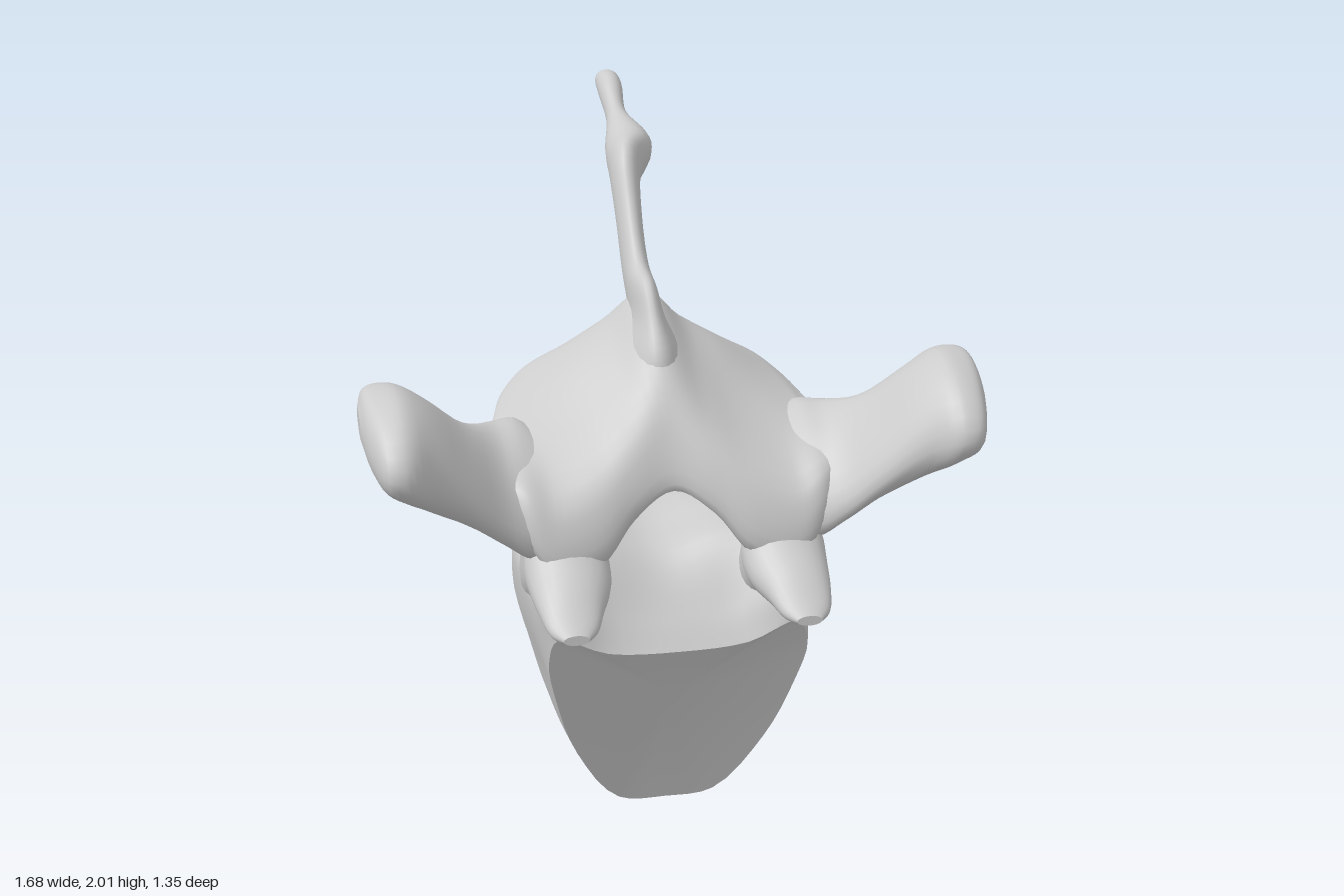
import * as THREE from 'three';

const V = (x, y, z) => new THREE.Vector3(x, y, z);
const { lerp, clamp } = THREE.MathUtils;
const material = new THREE.MeshStandardMaterial({ color: 0xcccccc });

// Skin a smooth surface over a row of rings and close both ends with creased caps.
// dish pushes the middle of the caps inwards.
function loft(rings, steps, dish = 0) {
  const n = rings[0].length;
  const rows = (rings.length - 1) * steps;
  const columns = rings[0].map((_, i) => new THREE.CatmullRomCurve3(rings.map((r) => r[i])));
  const pos = [], idx = [];
  for (let j = 0; j <= rows; j++) {
    for (let i = 0; i < n; i++) pos.push(...columns[i].getPoint(j / rows).toArray());
  }
  for (let j = 0; j < rows; j++) {
    for (let i = 0; i < n; i++) {
      const a = j * n + i, b = j * n + (i + 1) % n;
      idx.push(a, b, a + n, b, b + n, a + n);
    }
  }
  const mid = (ring) => ring.reduce((s, p) => s.add(p), V(0, 0, 0)).divideScalar(n);
  const ends = [rings[0], rings[rings.length - 1]];
  const inward = mid(ends[1]).sub(mid(ends[0])).normalize();
  ends.forEach((ring, e) => {
    const start = pos.length / 3;
    const centre = mid(ring).addScaledVector(inward, e ? -dish : dish);
    [...ring, centre].forEach((p) => pos.push(...p.toArray()));
    for (let i = 0; i < n; i++) {
      const a = start + i, b = start + (i + 1) % n;
      idx.push(...(e ? [a, b, start + n] : [b, a, start + n]));
    }
  });

  // Turn the faces outwards if the rings ran the other way round
  let volume = 0;
  const P = (k) => V(pos[3 * k], pos[3 * k + 1], pos[3 * k + 2]);
  for (let k = 0; k < idx.length; k += 3) volume += P(idx[k]).dot(P(idx[k + 1]).cross(P(idx[k + 2])));
  if (volume < 0) idx.reverse();

  const geometry = new THREE.BufferGeometry();
  geometry.setAttribute('position', new THREE.Float32BufferAttribute(pos, 3));
  geometry.setIndex(idx);
  geometry.computeVertexNormals();
  return geometry;
}

// Smooth closed ring through a few points
function splineRing(points, n) {
  const curve = new THREE.CatmullRomCurve3(points, true);
  return Array.from({ length: n }, (_, i) => curve.getPoint(i / n));
}

// Elliptical ring around centre c with half-axes u and v
function oval(c, u, v, n = 24) {
  return Array.from({ length: n }, (_, i) => {
    const a = (i / n) * Math.PI * 2;
    return c.clone().addScaledVector(u, Math.cos(a)).addScaledVector(v, Math.sin(a));
  });
}

export function createModel() {
  const group = new THREE.Group();
  const add = (name, geometry) => {
    const mesh = new THREE.Mesh(geometry, material);
    mesh.name = name;
    group.add(mesh);
  };

  // Heart-shaped body between two tilted end plates: half outlines [x, y] from top to bottom.
  // Its lower part leans slightly to the left.
  const backZ = (y) => Math.max(-0.32, -0.32 + (y - 0.35) * 0.29);
  const frontZ = (y) => 0.13 + 0.35 * y;
  const lean = (y) => 0.035 * clamp((0.85 - y) / 0.3, 0, 1);
  const outlines = [
    [0, [[0, 0.86], [0.17, 0.865], [0.27, 0.82], [0.32, 0.68], [0.32, 0.5], [0.27, 0.31], [0.15, 0.19], [0, 0.17]]],
    [0.12, [[0, 0.85], [0.2, 0.87], [0.33, 0.83], [0.365, 0.7], [0.355, 0.5], [0.29, 0.29], [0.16, 0.165], [0, 0.15]]],
    [0.3, [[0, 0.82], [0.22, 0.87], [0.37, 0.83], [0.4, 0.7], [0.375, 0.5], [0.3, 0.28], [0.16, 0.14], [0, 0.13]]],
    [0.55, [[0, 0.79], [0.2, 0.84], [0.38, 0.85], [0.41, 0.72], [0.38, 0.5], [0.3, 0.26], [0.15, 0.1], [0, 0.09]]],
    [0.85, [[0, 0.65], [0.2, 0.68], [0.37, 0.8], [0.395, 0.7], [0.36, 0.47], [0.29, 0.23], [0.14, 0.04], [0, 0.03]]],
    [1, [[0, 0.57], [0.2, 0.585], [0.34, 0.65], [0.37, 0.57], [0.345, 0.42], [0.275, 0.21], [0.14, 0.015], [0, 0]]],
  ];
  add('vertebralBody', loft(outlines.map(([t, half]) => {
    const mirrored = half.slice(1, -1).reverse().map(([x, y]) => [-x, y]);
    return splineRing([...half, ...mirrored].map(([x, y]) =>
      V(x + lean(y), y, lerp(backZ(y), frontZ(y), t))), 56);
  }), 6, 0.025));

  // Roof over the canal: [z, y] profiles running outwards from the middle
  const roof = [
    [0, [[0.4, 1.09], [0.33, 1.27], [0.2, 1.42], [0, 1.53], [-0.1, 1.47], [-0.07, 1.37], [0.1, 1.25], [0.28, 1.13]]],
    [0.11, [[0.43, 1.03], [0.38, 1.2], [0.2, 1.34], [0, 1.43], [-0.1, 1.41], [-0.07, 1.31], [0.1, 1.2], [0.3, 1.05]]],
    [0.21, [[0.47, 0.92], [0.43, 1.12], [0.2, 1.28], [0, 1.37], [-0.1, 1.35], [-0.07, 1.25], [0.1, 1.16], [0.29, 0.94]]],
    [0.33, [[0.48, 0.9], [0.45, 1.08], [0.2, 1.23], [0, 1.29], [-0.1, 1.29], [-0.06, 1.21], [0.1, 1.16], [0.24, 0.97]]],
    [0.4, [[0.46, 0.98], [0.43, 1.12], [0.22, 1.2], [0.06, 1.24], [-0.05, 1.24], [-0.01, 1.19], [0.12, 1.155], [0.24, 1.03]]],
    [0.44, [[0.42, 1.06], [0.4, 1.13], [0.28, 1.18], [0.16, 1.2], [0.06, 1.21], [0.09, 1.18], [0.17, 1.15], [0.27, 1.08]]],
    [0.47, [[0.36, 1.1], [0.35, 1.13], [0.29, 1.16], [0.22, 1.18], [0.16, 1.18], [0.18, 1.17], [0.22, 1.15], [0.29, 1.11]]],
  ];
  const roofRing = (side) => ([x, profile]) => splineRing(profile.map(([z, y]) => V(side * x, y, z)), 40);
  add('lamina', loft([...roof.slice(1).reverse().map(roofRing(-1)), ...roof.map(roofRing(1))], 5));

  // Long thin spine: [top z, top y, bottom z, bottom y, half width, x]
  const spine = [
    [0.25, 1.31, -0.05, 1.43, 0.09, 0],
    [0.23, 1.41, -0.09, 1.44, 0.07, 0],
    [0.17, 1.5, -0.1, 1.45, 0.045, -0.005],
    [0.1, 1.58, -0.115, 1.47, 0.038, -0.01],
    [-0.02, 1.61, -0.14, 1.52, 0.036, -0.012],
    [-0.14, 1.74, -0.21, 1.63, 0.036, -0.012],
    [-0.25, 1.88, -0.28, 1.71, 0.045, -0.005],
    [-0.36, 1.9, -0.39, 1.77, 0.068, 0.025],
    [-0.47, 1.935, -0.49, 1.86, 0.03, 0.01],
    [-0.58, 2, -0.6, 1.92, 0.036, 0.01],
    [-0.65, 2, -0.66, 1.95, 0.03, 0.01],
    [-0.675, 1.985, -0.675, 1.965, 0.012, 0.01],
  ];
  add('spine', loft(spine.map(([tz, ty, bz, by, w, x]) => oval(
    V(x, (ty + by) / 2, (tz + bz) / 2), V(w, 0, 0), V(0, (ty - by) / 2, (tz - bz) / 2))), 4));

  // Paired parts: rows of [x, y, z, half size, half size]; wings add a forward slope
  const pedicle = [
    [0.29, 0.66, 0.15, 0.06, 0.08], [0.31, 0.77, 0.23, 0.085, 0.13], [0.315, 0.84, 0.28, 0.09, 0.14],
    [0.315, 0.92, 0.31, 0.09, 0.115], [0.315, 1, 0.315, 0.095, 0.115], [0.315, 1.08, 0.31, 0.09, 0.1],
  ];
  const wing = [
    [0.3, 1.07, 0.29, 0.08, 0.13, 0.5], [0.39, 1.085, 0.285, 0.115, 0.18, 0.55],
    [0.46, 1.11, 0.305, 0.105, 0.185, 0.42], [0.55, 1.165, 0.365, 0.11, 0.165, 0.25],
    [0.66, 1.25, 0.415, 0.135, 0.17, 0.15], [0.73, 1.3, 0.445, 0.125, 0.195, 0.2],
    [0.785, 1.32, 0.445, 0.1, 0.19, 0.25], [0.82, 1.34, 0.42, 0.07, 0.13, 0.3],
    [0.838, 1.35, 0.4, 0.03, 0.05, 0.3],
  ];
  const horn = [
    [0.31, 0.95, 0.3, 0.08, 0.1], [0.3, 0.905, 0.41, 0.115, 0.13], [0.3, 0.87, 0.49, 0.11, 0.09],
    [0.31, 0.84, 0.57, 0.088, 0.06], [0.315, 0.81, 0.635, 0.065, 0.033], [0.315, 0.8, 0.67, 0.035, 0.014],
  ];
  for (const [side, label] of [[1, 'left'], [-1, 'right']]) {
    // Stalk joining the body to the roof
    add(label + 'Pedicle', loft(pedicle.map(([x, y, z, a, b]) =>
      oval(V(side * x, y, z), V(a, 0, 0), V(0, 0, b))), 4));
    // Side wing with a broad, forward-leaning end
    add(label + 'TransverseWing', loft(wing.map(([x, y, z, a, b, slope]) =>
      oval(V(side * x, y, z), V(0, a, 0), V(0, -slope * b, b))), 4));
    // Pointed joint horn reaching forward
    add(label + 'ArticularHorn', loft(horn.map(([x, y, z, a, b]) =>
      oval(V(side * x, y, z), V(a, 0, 0), V(0, b, 0))), 4));
  }
  return group;
}
